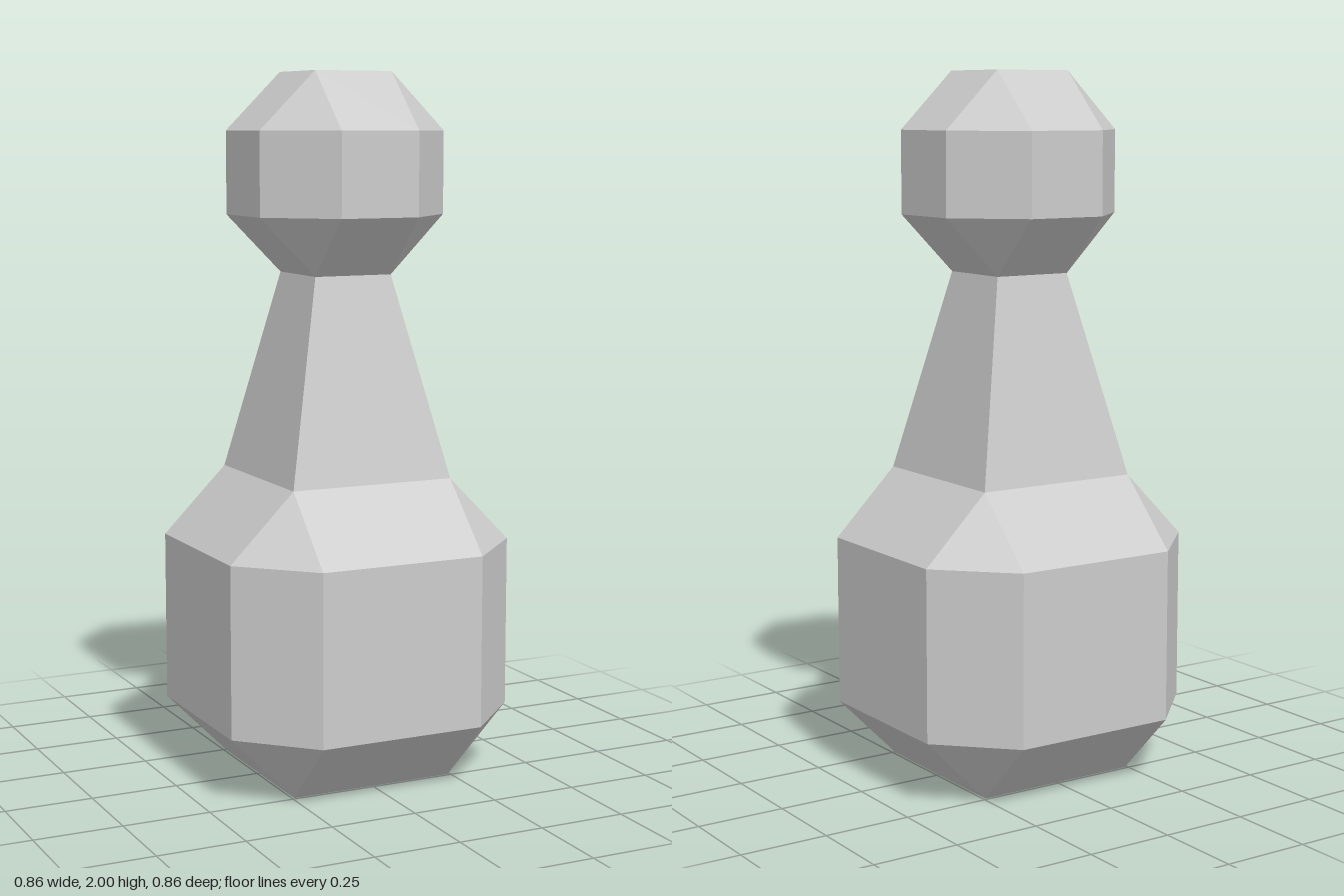
import * as THREE from 'three';

// Cross-section at height y: a square of half-width w with corners cut back to c (c = w gives a plain square)
function ring([y, w, c]) {
  return [[w, c], [c, w], [-c, w], [-w, c], [-w, -c], [-c, -w], [c, -w], [w, -c]]
    .map(([x, z]) => new THREE.Vector3(x, y, z));
}

// Skins a stack of sections, bottom to top, with optional end caps
function loft(name, sections, { bottom = false, top = false } = {}) {
  const rings = sections.map(ring);
  const positions = [];
  const tri = (a, b, c) => {
    // Skip triangles that collapse at the square sections
    if (a.equals(b) || b.equals(c) || c.equals(a)) return;
    for (const p of [a, b, c]) positions.push(p.x, p.y, p.z);
  };
  for (let r = 0; r < rings.length - 1; r++) {
    const lo = rings[r], hi = rings[r + 1];
    for (let i = 0; i < 8; i++) {
      const j = (i + 1) % 8;
      tri(lo[i], hi[i], hi[j]);
      tri(lo[i], hi[j], lo[j]);
    }
  }
  const first = rings[0], last = rings[rings.length - 1];
  for (let i = 1; i < 7; i++) {
    if (bottom) tri(first[0], first[i], first[i + 1]);
    if (top) tri(last[0], last[i + 1], last[i]);
  }
  const geometry = new THREE.BufferGeometry();
  geometry.setAttribute('position', new THREE.Float32BufferAttribute(positions, 3));
  geometry.computeVertexNormals();
  const material = new THREE.MeshStandardMaterial({ color: 0xcccccc, flatShading: true });
  const mesh = new THREE.Mesh(geometry, material);
  mesh.name = name;
  return mesh;
}

export function createModel() {
  const group = new THREE.Group();
  group.name = 'pawn';
  const base = 0.243, neck = 0.117; // half-widths of the square ends

  // Faceted body standing on its flat underside
  group.add(loft('body', [
    [0, base, base], [0.191, 0.431, base], [0.677, 0.431, base], [0.866, base, base],
  ], { bottom: true }));

  // Tapering square neck
  group.add(loft('neck', [[0.866, base, base], [1.437, neck, neck]]));

  // Faceted head with a flat top
  group.add(loft('head', [
    [1.437, neck, neck], [1.603, 0.283, neck], [1.837, 0.283, neck], [2, neck, neck],
  ], { top: true }));

  return group;
}
